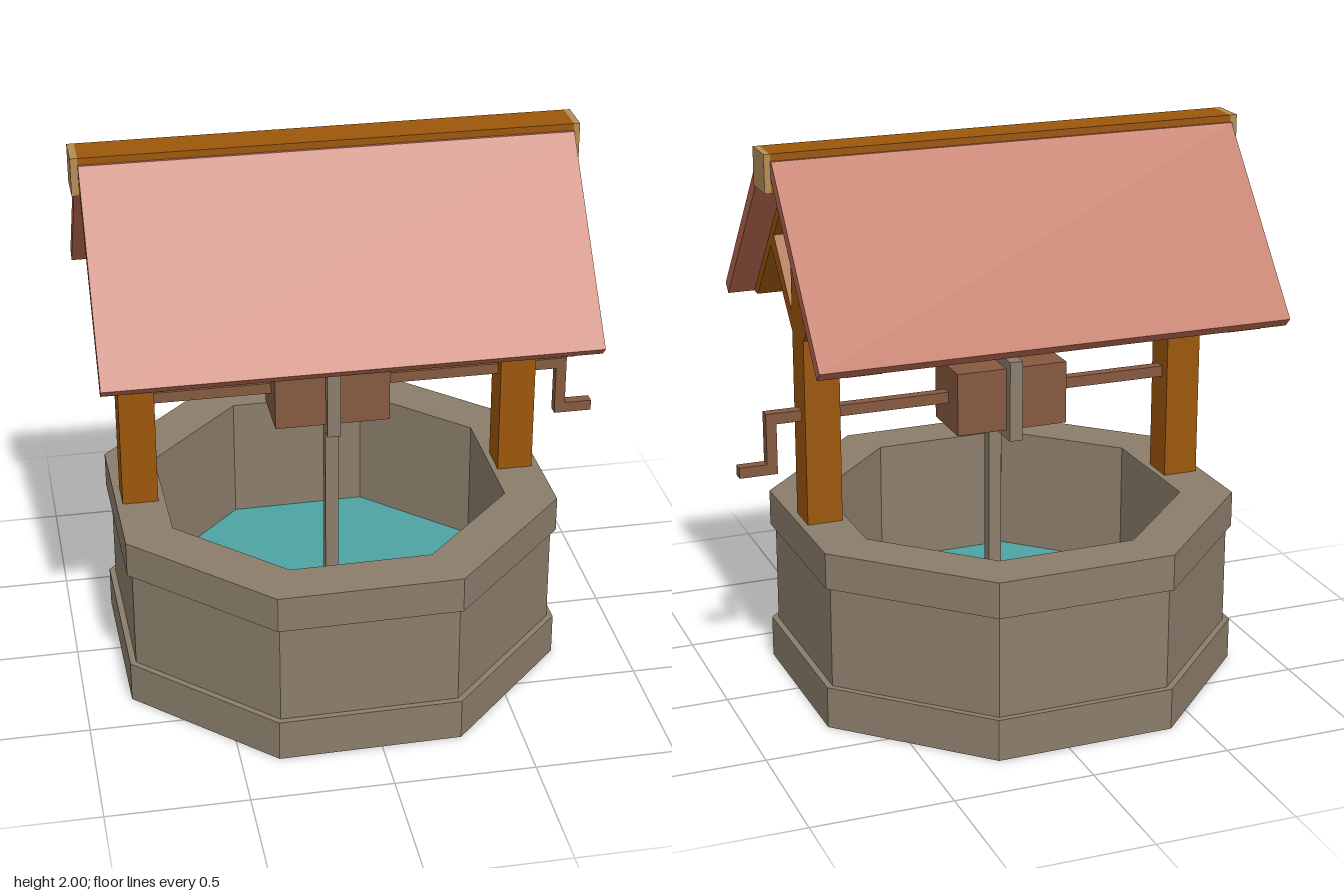
import * as THREE from 'three';

const mat = (name, color) => {
  const m = new THREE.MeshStandardMaterial({ color, flatShading: true });
  m.name = name;
  return m;
};

export function createModel() {
  const stone = mat('stone', 0x8b7d6b);
  const wood = mat('wood', 0x9c570a);
  const paleWood = mat('paleWood', 0xb58d56);
  const roofRed = mat('roofRed', 0xb8674e);
  const brown = mat('brown', 0x85593f);
  const rope = mat('rope', 0x8b7d6b);
  const water = mat('water', 0x4fa3a3);

  const model = new THREE.Group();
  model.name = 'well';

  const add = (name, geometry, material) => {
    const mesh = new THREE.Mesh(geometry, material);
    mesh.name = name;
    model.add(mesh);
    return mesh;
  };
  // Box given by its lower and upper corner on each axis
  const box = (name, material, [x0, x1], [y0, y1], [z0, z1]) => {
    const mesh = add(name, new THREE.BoxGeometry(x1 - x0, y1 - y0, z1 - z0), material);
    mesh.position.set((x0 + x1) / 2, (y0 + y1) / 2, (z0 + z1) / 2);
  };
  // Extrudes a [z, y] outline along x, on the front or back side
  const slab = (name, material, outline, x0, x1, side) => {
    const shape = new THREE.Shape(outline.map(([z, y]) => new THREE.Vector2(-z * side, y)));
    const geometry = new THREE.ExtrudeGeometry(shape, { depth: x1 - x0, bevelEnabled: false });
    geometry.rotateY(Math.PI / 2);
    geometry.translate(x0, 0, 0);
    add(name, geometry, material);
  };

  // Eight-sided wall with a projecting base and rim; radii are flat-to-centre
  const corner = 1 / Math.cos(Math.PI / 8);
  const profile = [
    [0.605, 0], [0.785, 0], [0.785, 0.152], [0.763, 0.152], [0.763, 0.525],
    [0.781, 0.525], [0.781, 0.656], [0.605, 0.656], [0.605, 0],
  ].map(([r, y]) => new THREE.Vector2(r * corner, y));
  const wall = add('wall', new THREE.LatheGeometry(profile, 8, Math.PI / 8), stone);

  // Water filling the bottom of the shaft
  const pool = add('water',
    new THREE.CylinderGeometry(0.608 * corner, 0.608 * corner, 0.1, 8, 1, false, Math.PI / 8), water);
  for (const part of [wall, pool]) {
    part.position.x = -0.053;
    part.rotation.y = 0.0155;
  }
  pool.position.y = 0.14;

  // Posts, with rafters and braces on both sides
  const rafter = [[0.06, 1.93], [0.06, 1.875], [0.5, 1.35], [0.54, 1.35], [0.54, 1.36]];
  const brace = [[0.06, 1.33], [0.06, 1.4], [0.28, 1.645], [0.325, 1.6]];
  for (const x of [-0.81, 0.573]) {
    box('post', wood, [x, x + 0.128], [0.6, 1.9], [-0.065, 0.065]);
    for (const side of [1, -1]) {
      slab('rafter', wood, rafter, x, x + 0.128, side);
      slab('brace', wood, brace, x, x + 0.128, side);
    }
  }

  // Ridge beam with pale ends, and the two roof panels
  box('ridgeBeam', wood, [-0.905, 0.8], [1.865, 2], [-0.067, 0.067]);
  box('beamEnd', paleWood, [-0.93, -0.905], [1.865, 2], [-0.067, 0.067]);
  box('beamEnd', paleWood, [0.8, 0.822], [1.865, 2], [-0.067, 0.067]);
  const panel = [[0.06, 1.975], [0.078, 1.975], [0.573, 1.383], [0.542, 1.352], [0.06, 1.925]];
  for (const side of [1, -1]) slab('roofPanel', roofRed, panel, -0.905, 0.8, side);

  // Windlass: drum, axle and crank
  box('axle', brown, [-0.7, 0.83], [1.03, 1.07], [-0.02, 0.02]);
  box('drum', brown, [-0.26, 0.155], [0.935, 1.165], [-0.115, 0.115]);
  box('crankArm', brown, [0.792, 0.83], [0.846, 1.03], [-0.02, 0.02]);
  box('crankHandle', brown, [0.83, 0.93], [0.846, 0.885], [-0.02, 0.02]);

  // Rope wound round the drum and hanging into the water
  box('ropeCoil', rope, [-0.078, -0.03], [0.902, 1.198], [-0.15, 0.15]);
  box('ropeDrop', rope, [-0.078, -0.03], [0.085, 0.902], [0.058, 0.105]);

  return model;
}
